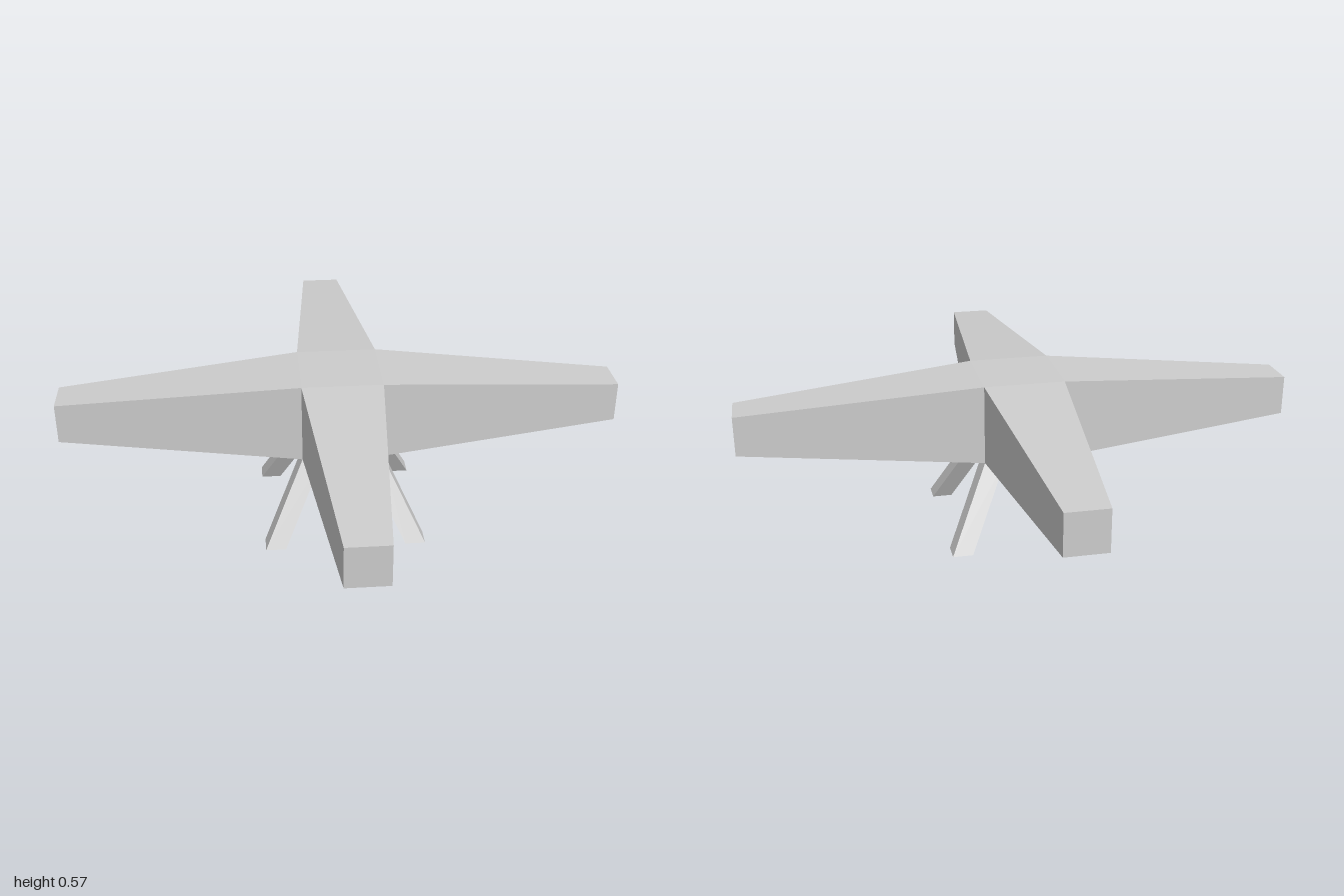
import * as THREE from 'three';

const HUB = 0.143;      // half width of the hub
const TIP = 0.0715;     // half width of an arm tip
const MID = 0.4285;     // height of the arm axis
const FOOT = 0.2855;    // leg height

// Box without one hidden face (0..5 = +x, -x, +y, -y, +z, -z), its vertices moved by a rule
function shapedBox(w, h, d, hiddenFace, rule) {
  const geo = new THREE.BoxGeometry(w, h, d);
  const index = Array.from(geo.index.array);
  index.splice(hiddenFace * 6, 6);
  geo.setIndex(index);
  geo.clearGroups();
  const pos = geo.attributes.position;
  const v = new THREE.Vector3();
  for (let i = 0; i < pos.count; i++) {
    v.fromBufferAttribute(pos, i);
    rule(v);
    pos.setXYZ(i, v.x, v.y, v.z);
  }
  geo.computeVertexNormals();
  return geo;
}

export function createModel() {
  const model = new THREE.Group();
  model.name = 'fourArmedStand';
  const grey = new THREE.MeshStandardMaterial({ color: 0xcccccc });
  grey.name = 'light grey';

  const add = (name, geo) => {
    const mesh = new THREE.Mesh(geo, grey);
    mesh.name = name;
    model.add(mesh);
    return mesh;
  };

  // Hub: only its top and bottom are exposed between the arms
  for (const side of [1, -1]) {
    const plate = add(side > 0 ? 'hubTop' : 'hubBottom', new THREE.PlaneGeometry(2 * HUB, 2 * HUB));
    plate.rotation.x = -side * Math.PI / 2;
    plate.position.y = MID + side * HUB;
  }

  // Arms: square beams tapering from the hub to the tips
  const length = 1 - HUB;
  const armGeo = shapedBox(length, 2 * HUB, 2 * HUB, 1, (v) => {
    if (v.x > 0) {
      v.y *= TIP / HUB;
      v.z *= TIP / HUB;
    }
    v.x += HUB + length / 2;
  });
  ['leftArm', 'backArm', 'rightArm', 'frontArm'].forEach((name, i) => {
    const arm = add(name, armGeo);
    arm.position.y = MID;
    arm.rotation.y = i * Math.PI / 2;
  });

  // Legs: square posts sheared outwards along the diagonals
  const legGeo = shapedBox(TIP, FOOT, TIP, 2, (v) => {
    const spread = (v.y > 0 ? 1.5 : 3.5) * TIP;
    v.x += spread;
    v.z += spread;
    v.y += FOOT / 2;
  });
  ['frontLeftLeg', 'backLeftLeg', 'backRightLeg', 'frontRightLeg'].forEach((name, i) => {
    add(name, legGeo).rotation.y = i * Math.PI / 2;
  });

  return model;
}
